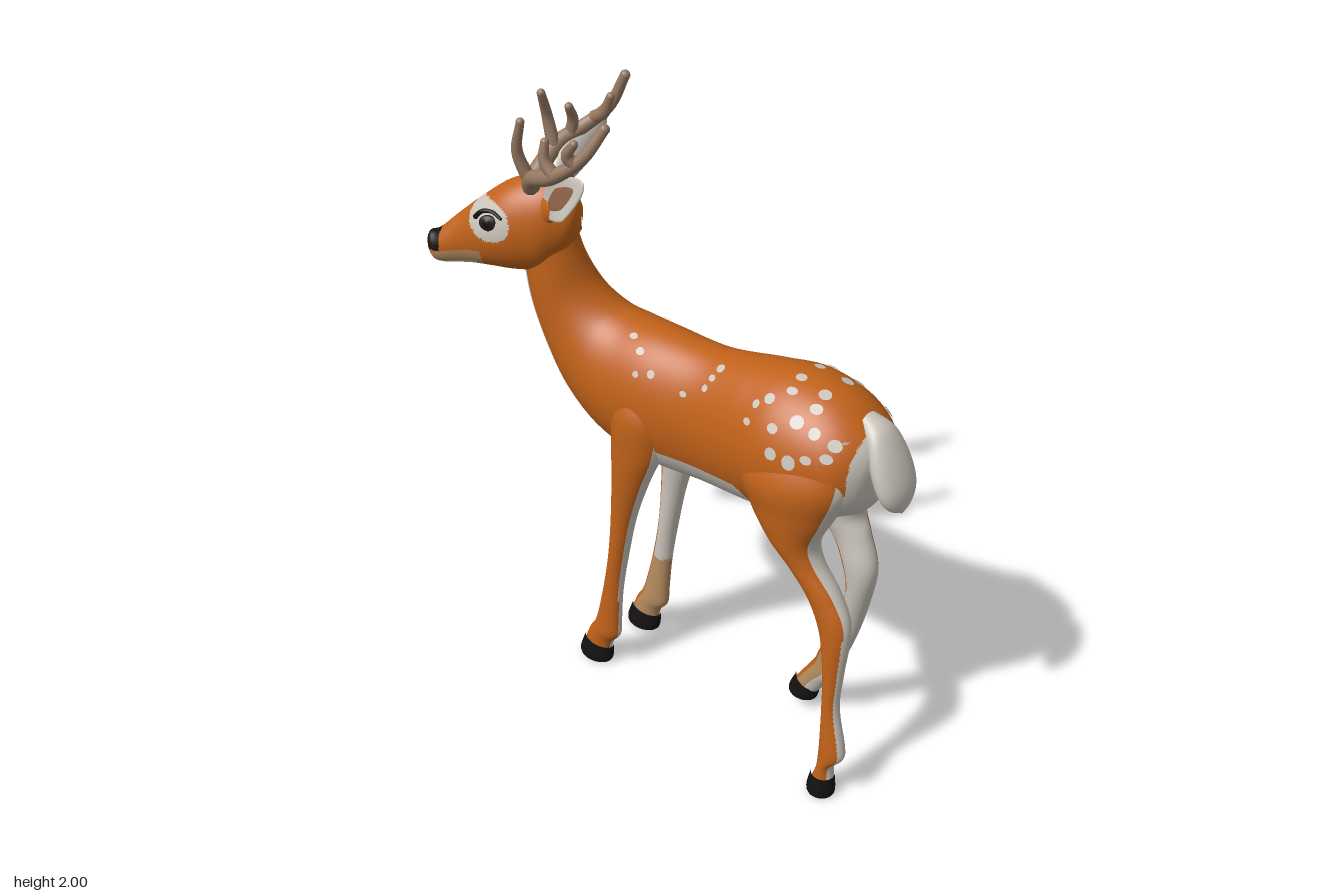
import * as THREE from 'three';

const mat = (name, color) => Object.assign(new THREE.MeshStandardMaterial({ color }), { name });
const M = {
  coat: mat('orange coat', 0xbf6119),
  white: mat('white fur', 0xc9c3ba),
  tan: mat('tan fur', 0xb48a5e),
  antler: mat('antler brown', 0x957862),
  inner: mat('inner ear', 0x8e6446),
  black: mat('hoof black', 0x141111),
  eye: mat('eye brown', 0x2c1913),
};

// Smooth interpolation through rows of numbers; t runs over row indices
function rowAt(rows, t) {
  const n = rows.length - 1, i = Math.min(Math.floor(t), n - 1), f = t - i;
  const at = k => rows[Math.max(0, Math.min(n, k))];
  return rows[0].map((_, k) => {
    const a = at(i - 1)[k], b = at(i)[k], c = at(i + 1)[k], d = at(i + 2)[k];
    return b + 0.5 * f * (c - a + f * (2 * a - 5 * b + 4 * c - d + f * (3 * (b - c) + d - a)));
  });
}

// Row: [edge A x, y, edge B x, y, centre z, half width]; the ring is an ellipse from A to B
function pointOn(rows, t, a) {
  const [ax, ay, bx, by, z, w] = rowAt(rows, t), c = Math.cos(a);
  return new THREE.Vector3((ax + bx) / 2 + (ax - bx) / 2 * c,
    Math.max(0, (ay + by) / 2 + (ay - by) / 2 * c), z + w * Math.sin(a));
}

// Loft through the rows; rule(centre, c, s) picks the colour of each face
function loft(name, rows, rule, steps = 6, sides = 40) {
  const rings = (rows.length - 1) * steps, pos = [], faces = {};
  for (let i = 0; i <= rings; i++)
    for (let j = 0; j < sides; j++) pos.push(...pointOn(rows, i / steps, j / sides * 2 * Math.PI).toArray());
  const v = i => new THREE.Vector3().fromArray(pos, i * 3);
  const tris = [];
  let outward = 0;
  for (let i = 0; i < rings; i++) {
    const core = pointOn(rows, (i + 0.5) / steps, 0).add(pointOn(rows, (i + 0.5) / steps, Math.PI)).multiplyScalar(0.5);
    for (let j = 0; j < sides; j++) {
      const a = i * sides + j, b = i * sides + (j + 1) % sides, c = a + sides, d = b + sides;
      for (const [k, tri] of [[0.33, [a, b, c]], [0.67, [b, d, c]]]) {
        const p = tri.map(v), ang = (j + k) / sides * 2 * Math.PI;
        const mid = p[0].clone().add(p[1]).add(p[2]).divideScalar(3);
        const normal = p[1].clone().sub(p[0]).cross(p[2].clone().sub(p[0]));
        outward += normal.dot(mid.clone().sub(core));
        tris.push([rule(mid, Math.cos(ang), Math.sin(ang)), tri]);
      }
    }
  }
  for (const [key, tri] of tris) (faces[key] ??= []).push(...(outward < 0 ? [tri[0], tri[2], tri[1]] : tri));
  const g = new THREE.BufferGeometry(), index = [], mats = [];
  for (const key in faces) {
    g.addGroup(index.length, faces[key].length, mats.length);
    mats.push(M[key]);
    for (const i of faces[key]) index.push(i);
  }
  g.setAttribute('position', new THREE.Float32BufferAttribute(pos, 3));
  g.setIndex(index);
  g.computeVertexNormals();
  const mesh = new THREE.Mesh(g, mats);
  mesh.name = name;
  return mesh;
}

function ball(name, m, p, s) {
  const mesh = new THREE.Mesh(new THREE.SphereGeometry(1, 20, 14), m);
  mesh.name = name;
  mesh.position.set(...p);
  mesh.scale.set(...s);
  return mesh;
}

// Tapered, round-tipped tube through points
function horn(name, pts, r0, r1, m) {
  const curve = new THREE.CatmullRomCurve3(pts.map(p => new THREE.Vector3(...p)));
  const seg = 20, rad = 10, g = new THREE.TubeGeometry(curve, seg, r0, rad), pos = g.attributes.position;
  for (let i = 0; i < pos.count; i++) {
    const u = Math.floor(i / (rad + 1)) / seg, c = curve.getPointAt(u);
    const p = new THREE.Vector3().fromBufferAttribute(pos, i).sub(c).multiplyScalar(1 + (r1 / r0 - 1) * u).add(c);
    pos.setXYZ(i, p.x, p.y, p.z);
  }
  const group = new THREE.Group();
  group.name = name;
  group.add(new THREE.Mesh(g, m), ball('tip', m, pts[pts.length - 1], [r1, r1, r1]));
  return group;
}

// Cupped leaf-shaped ear from base to tip, hollow towards the facing direction
function ear(name, base, tip, facing) {
  const b = new THREE.Vector3(...base), t = new THREE.Vector3(...tip), y = t.clone().sub(b), len = y.length();
  y.normalize();
  const x = y.clone().cross(new THREE.Vector3(...facing)).normalize(), z = x.clone().cross(y);
  const leaf = (label, w, l, d, off, m) => {
    const g = new THREE.SphereGeometry(1, 28, 20), p = g.attributes.position;
    for (let i = 0; i < p.count; i++) {
      const v = p.getY(i), px = p.getX(i) * w * (1 - 0.35 * Math.max(0, v) - 0.3 * Math.max(0, -v));
      p.setXYZ(i, px, v * l, p.getZ(i) * d + off + px * px * 5);
    }
    g.computeVertexNormals();
    const mesh = new THREE.Mesh(g, m);
    mesh.name = label;
    return mesh;
  };
  const group = new THREE.Group();
  group.name = name;
  group.add(leaf('earShell', 0.068, len / 2, 0.014, 0, M.white), leaf('earHollow', 0.036, len * 0.33, 0.008, 0.009, M.inner));
  group.add(ball('earRoot', M.coat, [0, -len * 0.42, -0.004], [0.042, 0.06, 0.024]));
  group.applyMatrix4(new THREE.Matrix4().makeBasis(x, y, z).setPosition(b.add(t).multiplyScalar(0.5)));
  return group;
}

// Torso and neck, rump first; edge A is the back, edge B the belly and throat
const BODY = [
  [.74, 1.14, .735, 1.06, -.07, .01], [.73, 1.22, .70, .99, -.07, .10], [.67, 1.285, .64, .95, -.07, .165],
  [.58, 1.335, .52, .89, -.07, .20], [.45, 1.357, .40, .87, -.068, .208], [.32, 1.343, .30, .855, -.06, .18],
  [.12, 1.305, .12, .84, -.055, .155], [-.08, 1.313, -.07, .84, -.035, .165], [-.2, 1.315, -.25, .875, -.03, .168],
  [-.27, 1.335, -.39, .98, -.01, .148], [-.33, 1.40, -.475, 1.12, .02, .118], [-.365, 1.5, -.53, 1.28, .05, .095],
  [-.385, 1.6, -.55, 1.42, .065, .082], [-.40, 1.68, -.54, 1.5, .075, .07],
];
const bodyRule = (p, c) => {
  if (p.y < 1.28 && p.x > .7 - Math.max(0, 1.1 - p.y) * .5) return 'white';
  const flank = THREE.MathUtils.smoothstep(p.x, .31, .44) * .5;
  return c < -.51 - flank - .25 * Math.exp(-(((p.x + .22) / .1) ** 2)) ? 'white' : 'coat';
};

// Legs; edge A is the front, edge B the rear
const HIND_LEFT = [
  [.40, 1.25, .68, 1.25, .01, .06], [.30, 1.08, .70, 1.10, .03, .12], [.36, .96, .655, .98, .045, .10], [.44, .87, .61, .88, .055, .078],
  [.53, .78, .625, .81, .055, .058], [.595, .69, .70, .715, .05, .05], [.645, .585, .745, .62, .055, .045],
  [.675, .45, .74, .45, .07, .034], [.685, .33, .74, .33, .08, .03], [.69, .2, .775, .2, .088, .035],
  [.69, .15, .775, .155, .09, .036], [.69, .10, .745, .115, .095, .033], [.675, .05, .75, .05, .1, .034],
];
const HIND_RIGHT = [
  [.40, 1.25, .68, 1.25, -.15, .06], [.30, 1.08, .70, 1.10, -.158, .115], [.36, .96, .655, .98, -.168, .098], [.44, .87, .61, .88, -.165, .078],
  [.52, .78, .64, .81, -.16, .055], [.565, .69, .68, .70, -.155, .05], [.58, .6, .66, .57, -.16, .045],
  [.54, .45, .62, .42, -.17, .034], [.47, .27, .56, .25, -.18, .03], [.45, .22, .545, .18, -.185, .035],
  [.41, .155, .50, .135, -.187, .034], [.375, .10, .46, .075, -.188, .034],
];
const FORE = [
  [-.17, 1.16, -.03, 1.16, .05, .05], [-.19, 1.05, .01, 1.05, .06, .085], [-.19, .9, 0, .93, .075, .07], [-.185, .8, -.05, .8, .085, .055],
  [-.19, .65, -.10, .65, .09, .042], [-.20, .5, -.135, .48, .095, .036], [-.225, .35, -.155, .33, .1, .03],
  [-.255, .22, -.165, .2, .1, .033], [-.275, .16, -.17, .14, .1, .036], [-.30, .12, -.2, .1, .1, .034],
  [-.325, .06, -.215, .055, .1, .034],
];
const foreZ = [-.12, -.13, -.145, -.15, -.15, -.147, -.142, -.138, -.137, -.137, -.137];
const foreHoof = z => [[-.322, .085, -.205, .072, z, .036], [-.345, .02, -.212, .015, z, .044], [-.33, 0, -.23, 0, z, .036], [-.28, 0, -.28, 0, z, 0]];
const LEGS = [
  ['leftHindLeg', 1, HIND_LEFT, [[.675, .08, .75, .075, .1, .037], [.663, .02, .756, .015, .102, .044], [.675, 0, .745, 0, .102, .036], [.71, 0, .71, 0, .102, 0]]],
  ['rightHindLeg', -1, HIND_RIGHT, [[.38, .125, .465, .088, -.188, .037], [.352, .06, .457, .05, -.188, .043], [.365, .045, .445, .04, -.188, .036], [.4, .042, .4, .042, -.188, 0]]],
  ['leftForeLeg', 1, FORE, foreHoof(.1)],
  ['rightForeLeg', -1, FORE.map((r, i) => [...r.slice(0, 4), foreZ[i], r[5]]), foreHoof(-.137)],
];

// White inner and rear faces, fading to tan low on the right legs
const legRule = (out, hind) => (p, c, s) => {
  const v = -s * out * .75 - c * .66;
  if (out < 0 && p.y < .34 && v > .1 && (!hind || c > -.1)) return 'tan';
  const limit = hind ? (p.y < .6 ? .1 : .3) : (p.y < .3 ? .45 : .3);
  return v > limit ? 'white' : 'coat';
};

const TAIL = [
  [.67, 1.30, .66, 1.24, -.08, .035], [.735, 1.272, .695, 1.2, -.08, .06], [.785, 1.195, .72, 1.13, -.08, .08],
  [.818, 1.11, .75, 1.07, -.08, .078], [.82, 1.05, .775, 1.035, -.08, .05], [.808, 1.016, .797, 1.016, -.08, .004],
];

// Head in its own frame, muzzle towards -x
const HEAD = [
  [-.425, 1.475, -.425, 1.46, 0, .004], [-.415, 1.505, -.405, 1.415, 0, .034], [-.38, 1.52, -.37, 1.405, 0, .045],
  [-.30, 1.59, -.28, 1.415, 0, .055], [-.22, 1.655, -.2, 1.42, 0, .09], [-.13, 1.715, -.12, 1.42, 0, .107],
  [-.03, 1.74, -.04, 1.43, 0, .104], [.04, 1.72, 0, 1.46, 0, .088], [.08, 1.66, .055, 1.52, 0, .06],
  [.09, 1.62, .09, 1.58, 0, .005],
];
const headRule = (p, c) => {
  if (p.x < -.372 && p.y > 1.457) return 'black';
  if (((p.x + .182) / .076) ** 2 + ((p.y - 1.602) / .062) ** 2 < 1) return 'white';
  if (c < (p.x < -.25 ? -.78 : -.92) && p.x < -.05) return 'white';
  return p.x < -.22 && p.y < 1.475 + (p.x + .3) * .25 ? 'tan' : 'coat';
};

// Coat spots as [section, angle from the spine]
const SPOTS = [
  [3.83, .45], [3.12, .5], [3.32, .78], [2.8, .8], [2.2, 1.05], [2.15, .8], [4.2, .67], [4.5, .8], [4.55, 1.05], [3.76, .99], [3.58, 1.29],
  [3.1, 1.3], [2.7, 1.18], [5.7, .64], [5.65, .45], [5.75, .82], [6.1, 1], [7.05, .64], [6.97, .98], [6.7, .9], [7.4, .45], [3.9, .2], [3.2, .25],
];

export function createModel() {
  const deer = new THREE.Group();
  deer.name = 'deer';
  deer.add(loft('body', BODY, bodyRule, 12, 120), loft('tail', TAIL, () => 'white'));

  for (const [name, out, rows, hoof] of LEGS) {
    deer.add(loft(name, rows, legRule(out, name.includes('Hind')), 8, 56));
    deer.add(loft(name.replace('Leg', 'Hoof'), hoof, () => 'black', 4, 28));
  }

  // Spots lie just above the coat on both sides
  SPOTS.forEach(([t, a], i) => [a, -a].forEach(ang => {
    const p = pointOn(BODY, t, ang), e = .02;
    const n = pointOn(BODY, t + e, ang).sub(p).cross(pointOn(BODY, t, ang + e).sub(p)).normalize();
    if (n.dot(p.clone().sub(pointOn(BODY, t, ang + Math.PI))) < 0) n.negate();
    const r = (t < 4.4 ? .018 : .011) + (i % 3) * .002;
    const spot = new THREE.Mesh(new THREE.CircleGeometry(r, 14), M.white);
    spot.name = 'spot';
    spot.scale.y = .75 + (i % 4) * .1;
    spot.position.copy(p).addScaledVector(n, .004);
    spot.quaternion.setFromUnitVectors(new THREE.Vector3(0, 0, 1), n);
    deer.add(spot);
  }));

  // Head turned towards the left side
  const head = new THREE.Group();
  head.name = 'head';
  head.position.set(-.44, 0, .07);
  head.rotation.y = .45;
  head.add(loft('skull', HEAD, headRule, 12, 96));
  for (const s of [1, -1]) {
    head.add(ball('eye', M.eye, [-.178, 1.6, s * .09], [.032, .027, .014]));
    head.add(ball('pupil', M.black, [-.18, 1.602, s * .094], [.018, .02, .012]));
    head.add(horn('eyelash', [[-.225, 1.612, s * .083], [-.2, 1.636, s * .086], [-.165, 1.64, s * .09], [-.135, 1.624, s * .098]], .008, .005, M.black));
  }
  deer.add(head);
  deer.add(ear('leftEar', [-.42, 1.65, .13], [-.2, 1.82, .175], [-.25, .1, .95]));
  deer.add(ear('rightEar', [-.505, 1.66, .0], [-.50, 1.825, -.225], [-.95, .1, -.25]));

  // Antlers: a main beam, then its tines
  const antlers = {
    leftAntler: [
      [[-.48, 1.70, .12], [-.42, 1.77, .17], [-.32, 1.81, .185], [-.23, 1.88, .15], [-.185, 1.97, .10]],
      [[-.44, 1.75, .16], [-.465, 1.85, .185], [-.44, 1.95, .19]],
      [[-.31, 1.815, .185], [-.345, 1.86, .19], [-.35, 1.91, .18]],
      [[-.25, 1.86, .16], [-.265, 1.89, .175], [-.24, 1.93, .17]],
    ],
    rightAntler: [
      [[-.545, 1.70, .05], [-.545, 1.78, -.06], [-.51, 1.82, -.14], [-.46, 1.88, -.20], [-.415, 1.983, -.225]],
      [[-.545, 1.77, -.04], [-.565, 1.87, -.035], [-.55, 1.955, 0]],
      [[-.53, 1.80, -.1], [-.52, 1.85, -.1], [-.51, 1.90, -.075]],
      [[-.49, 1.845, -.165], [-.45, 1.87, -.165], [-.42, 1.93, -.165]],
    ],
  };
  for (const name in antlers) {
    const group = new THREE.Group();
    group.name = name;
    antlers[name].forEach((pts, i) => group.add(horn(i ? 'tine' : 'beam', pts, i ? .022 : .03, i ? .013 : .016, M.antler)));
    deer.add(group);
  }
  return deer;
}
